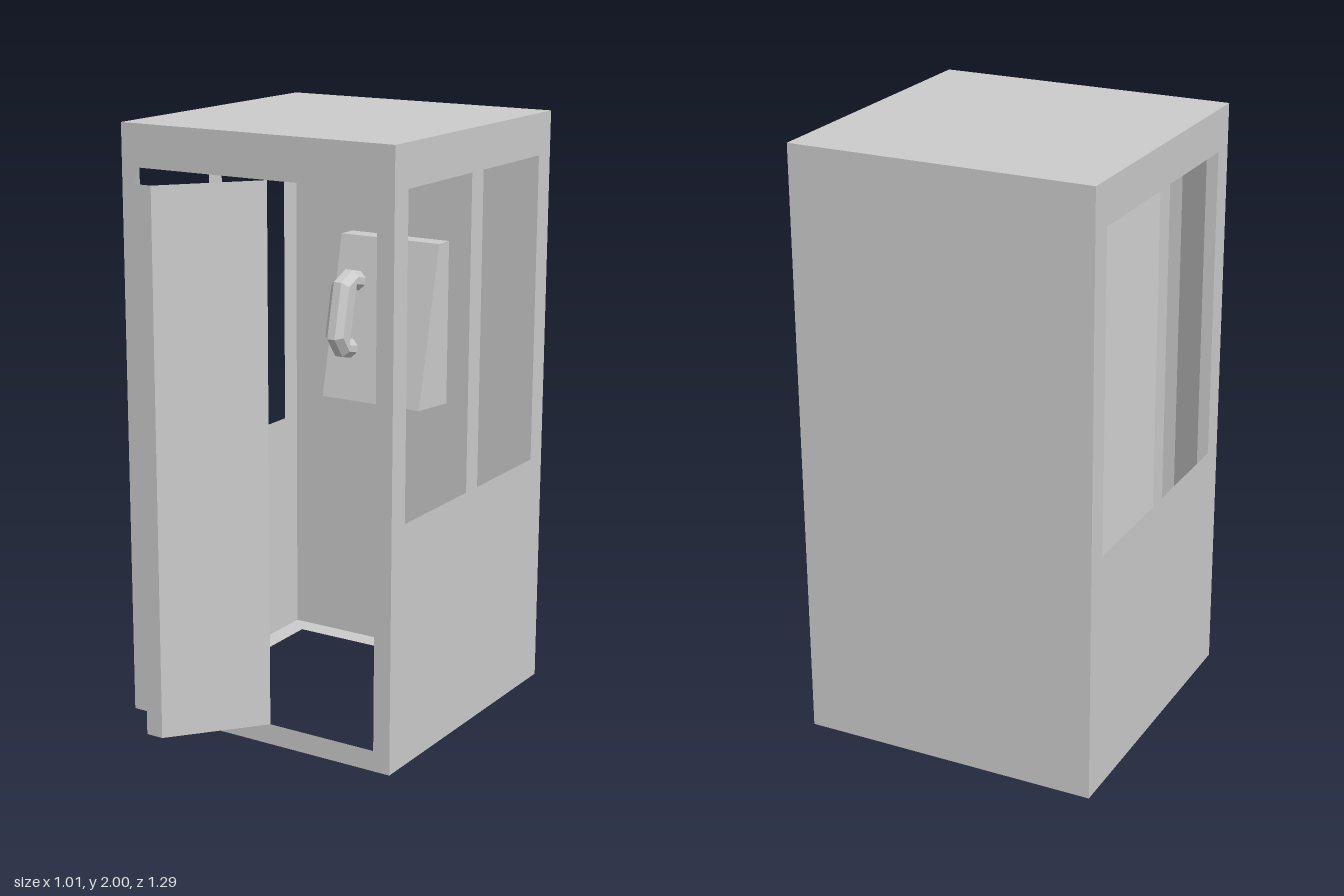
import * as THREE from 'three';

const HALF_W = 0.505, HEIGHT = 2, BACK = -0.645, FRONT = 0.37;
const SILL = 0.07, HEADER = 1.86;

const material = new THREE.MeshStandardMaterial({
  color: 0xcccccc, flatShading: true, side: THREE.DoubleSide,
});

function mesh(name, geometry) {
  const m = new THREE.Mesh(geometry, material);
  m.name = name;
  return m;
}

const polygon = (points) => new THREE.Shape(points.map(([x, y]) => new THREE.Vector2(x, y)));
const rect = (x0, y0, x1, y1) => polygon([[x0, y0], [x1, y0], [x1, y1], [x0, y1]]);

// Thin sheet with rectangular cut-outs, lying in the XY plane
function sheet(outer, ...holes) {
  const shape = rect(...outer);
  shape.holes = holes.map((h) => rect(...h));
  return new THREE.ShapeGeometry(shape);
}

// Turns a side profile (z, y) extruded along x, centred on the given x
function sideExtrude(shape, width, x, options = {}) {
  return new THREE.ExtrudeGeometry(shape, { depth: width, bevelEnabled: false, ...options })
    .translate(0, 0, -width / 2)
    .rotateY(-Math.PI / 2)
    .translate(x, 0, 0);
}

function createBooth() {
  const booth = new THREE.Group();
  booth.name = 'booth';

  booth.add(mesh('frontFrame',
    sheet([-HALF_W, 0, HALF_W, HEIGHT], [-0.435, SILL, 0.445, HEADER]).translate(0, 0, FRONT)));
  booth.add(mesh('backWall',
    sheet([-HALF_W, 0, HALF_W, HEIGHT]).rotateY(Math.PI).translate(0, 0, BACK)));

  // Side walls, each with two tall windows
  for (const [name, side] of [['leftWall', 1], ['rightWall', -1]]) {
    booth.add(mesh(name, sheet([BACK, 0, FRONT, HEIGHT],
      [-0.105, 0.815, 0.29, HEADER], [-0.565, 0.815, -0.18, HEADER])
      .rotateY(-Math.PI / 2).translate(side * HALF_W, 0, 0)));
  }

  booth.add(mesh('roof', sheet([-HALF_W, -FRONT, HALF_W, -BACK])
    .rotateX(-Math.PI / 2).translate(0, HEIGHT, 0)));
  // Open floor: only a rim around the edge
  booth.add(mesh('floorRim', sheet([-HALF_W, BACK, HALF_W, FRONT], [-0.435, -0.57, 0.44, 0.295])
    .rotateX(Math.PI / 2)));
  return booth;
}

// Folding door: a thin pleat standing out of the doorway
function createDoor() {
  const door = new THREE.Group();
  door.name = 'foldingDoor';
  const plan = [[-0.435, FRONT], [-0.24, 0.65], [-0.18, 0.65], [0.052, FRONT]];
  const names = ['outerLeaf', 'doorFold', 'innerLeaf'];
  names.forEach((name, i) => {
    const [x0, z0] = plan[i], [x1, z1] = plan[i + 1];
    const leaf = mesh(name, new THREE.PlaneGeometry(Math.hypot(x1 - x0, z1 - z0), HEADER - SILL));
    leaf.position.set((x0 + x1) / 2, (SILL + HEADER) / 2, (z0 + z1) / 2);
    leaf.rotation.y = -Math.atan2(z1 - z0, x1 - x0);
    door.add(leaf);
  });
  return door;
}

// Wedge-shaped telephone on the back wall
function createTelephone() {
  const phone = new THREE.Group();
  phone.name = 'telephone';
  phone.add(mesh('housing', sideExtrude(polygon(
    [[BACK, 0.943], [-0.45, 0.958], [-0.575, 1.525], [BACK, 1.525]]), 0.395, -0.07)));

  // Bevelled C-shaped handset; profile is (distance from housing, height along it)
  const bevel = 0.022;
  const profile = polygon([
    [-0.03, 0.17], [0.05, 0.172], [0.103, 0.218], [0.103, 0.397], [0.05, 0.435], [-0.03, 0.433],
    [-0.03, 0.41], [0.055, 0.41], [0.055, 0.195], [-0.03, 0.195],
  ]);
  const handset = mesh('handset', sideExtrude(profile, 0.03, -0.185, {
    bevelEnabled: true, bevelSize: bevel, bevelThickness: bevel, bevelSegments: 1,
  }));
  handset.position.set(0, 0.958, -0.45);
  handset.rotation.x = -Math.atan2(0.125, 0.567);
  phone.add(handset);
  return phone;
}

export function createModel() {
  const model = new THREE.Group();
  model.name = 'phoneBooth';
  model.add(createBooth(), createDoor(), createTelephone());
  return model;
}
